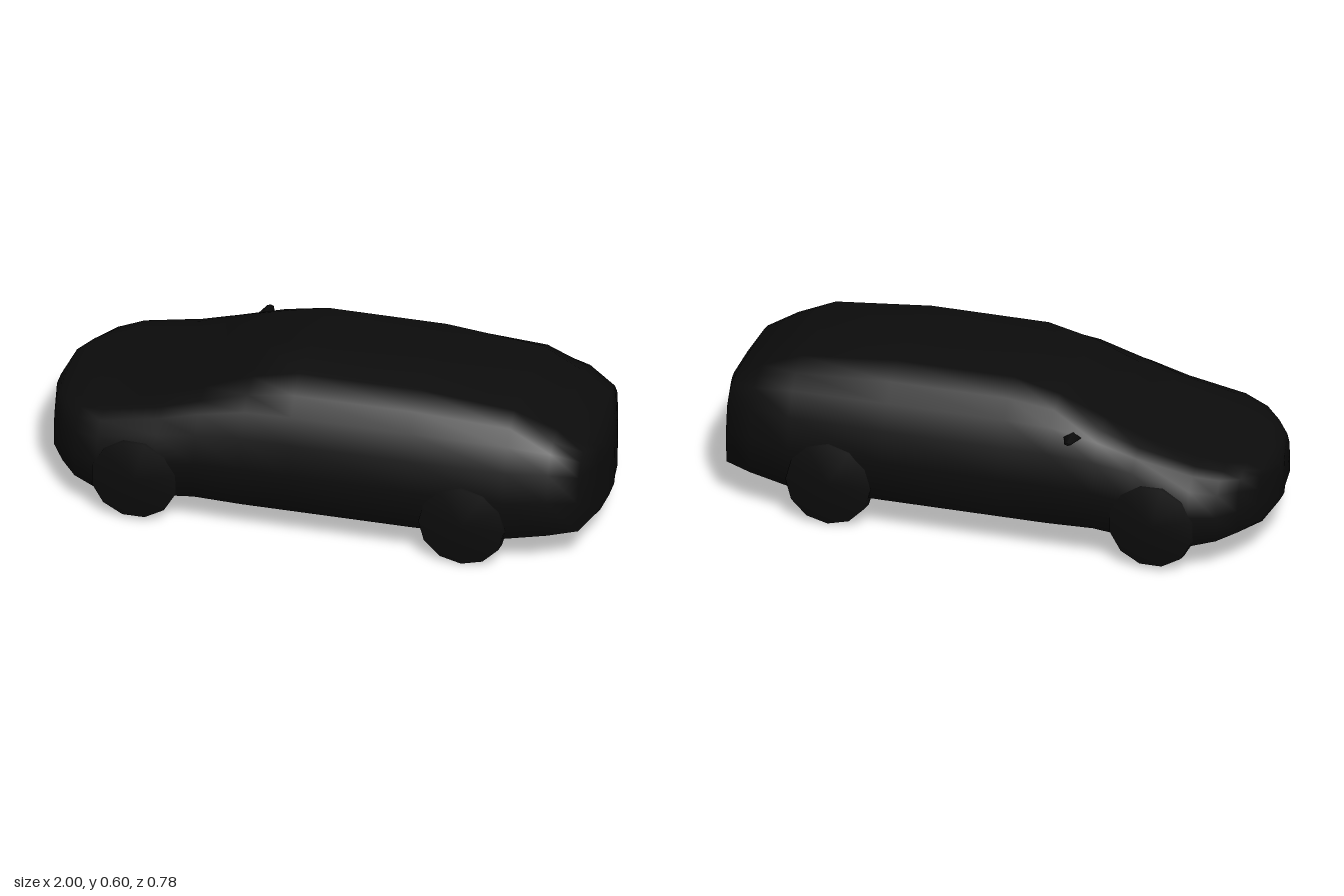
import * as THREE from 'three';

const black = new THREE.MeshStandardMaterial({ color: 0x0c0c0c });
black.name = 'black paint';

// Body stations from nose (-x) to tail (+x):
// x, half width, bottom y, belt y, shoulder y, roof y
const STATIONS = [
  [-1.00, 0.04, 0.15, 0.26, 0.28, 0.29],
  [-0.97, 0.20, 0.12, 0.27, 0.31, 0.33],
  [-0.92, 0.28, 0.11, 0.29, 0.325, 0.35],
  [-0.86, 0.35, 0.10, 0.30, 0.34, 0.362],
  [-0.77, 0.39, 0.085, 0.32, 0.36, 0.383],
  [-0.56, 0.39, 0.09, 0.36, 0.40, 0.43],
  [-0.42, 0.39, 0.105, 0.38, 0.44, 0.485],
  [-0.25, 0.39, 0.10, 0.39, 0.475, 0.555],
  [-0.08, 0.39, 0.10, 0.39, 0.48, 0.595],
  [0.35, 0.39, 0.10, 0.39, 0.48, 0.595],
  [0.70, 0.385, 0.10, 0.39, 0.475, 0.56],
  [0.85, 0.35, 0.115, 0.385, 0.45, 0.49],
  [0.95, 0.30, 0.118, 0.36, 0.405, 0.435],
  [0.985, 0.15, 0.12, 0.33, 0.36, 0.385],
  [1.00, 0.05, 0.14, 0.27, 0.30, 0.32],
];

// Closed section: up the +z side, over the roof and down the -z side
function section([x, w, bottom, belt, shoulder, roof]) {
  const side = [
    [0.7 * w, bottom],
    [0.98 * w, bottom + 0.025],
    [w, bottom + 0.6 * (belt - bottom)],
    [0.95 * w, belt],
    [0.84 * w, shoulder],
    [0.72 * w, (shoulder + roof) / 2 + 0.005],
    [0.55 * w, roof],
  ];
  const other = side.map(([z, y]) => [-z, y]).reverse();
  return [[0, bottom], ...side, [0, roof], ...other].map(([z, y]) => [x, y, z]);
}

function loft(rings) {
  const n = rings[0].length, last = (rings.length - 1) * n, index = [];
  for (let i = 0; i < rings.length - 1; i++) {
    for (let j = 0; j < n; j++) {
      const a = i * n + j, b = i * n + (j + 1) % n;
      index.push(a, a + n, b, b, a + n, b + n);
    }
  }
  // End caps
  for (let j = 1; j < n - 1; j++) {
    index.push(0, j, j + 1, last, last + j + 1, last + j);
  }
  const geometry = new THREE.BufferGeometry();
  geometry.setAttribute('position', new THREE.Float32BufferAttribute(rings.flat(2), 3));
  geometry.setIndex(index);
  geometry.computeVertexNormals();
  return geometry;
}

export function createModel() {
  const car = new THREE.Group();
  car.name = 'car';
  const add = (geometry, name) => {
    const mesh = new THREE.Mesh(geometry, black);
    mesh.name = name;
    car.add(mesh);
    return mesh;
  };

  add(loft(STATIONS.map(section)), 'body');

  // Wheels: coarse discs, tapering on the inner side
  const profile = [[0, 0.25], [0.09, 0.25], [0.155, 0.31], [0.16, 0.35], [0.155, 0.39], [0, 0.39]]
    .map(([r, h]) => new THREE.Vector2(r, h));
  const wheel = new THREE.LatheGeometry(profile, 12);
  for (const [end, x, y, turn] of [['front', -0.635, 0.17, Math.PI / 12], ['rear', 0.55, 0.16, 0]]) {
    for (const side of [1, -1]) {
      const mesh = add(wheel, `${end}Wheel${side > 0 ? 'Near' : 'Far'}`);
      mesh.rotation.set(side * Math.PI / 2, turn, 0);
      mesh.position.set(x, y, 0);
    }
  }

  // Door mirror: a small wedge on the far side
  const mirror = new THREE.CylinderGeometry(0.012, 0.035, 0.07, 4);
  mirror.scale(1, 1, 0.4);
  mirror.rotateX(-Math.PI / 2);
  add(mirror, 'doorMirror').position.set(-0.33, 0.452, -0.355);

  return car;
}
